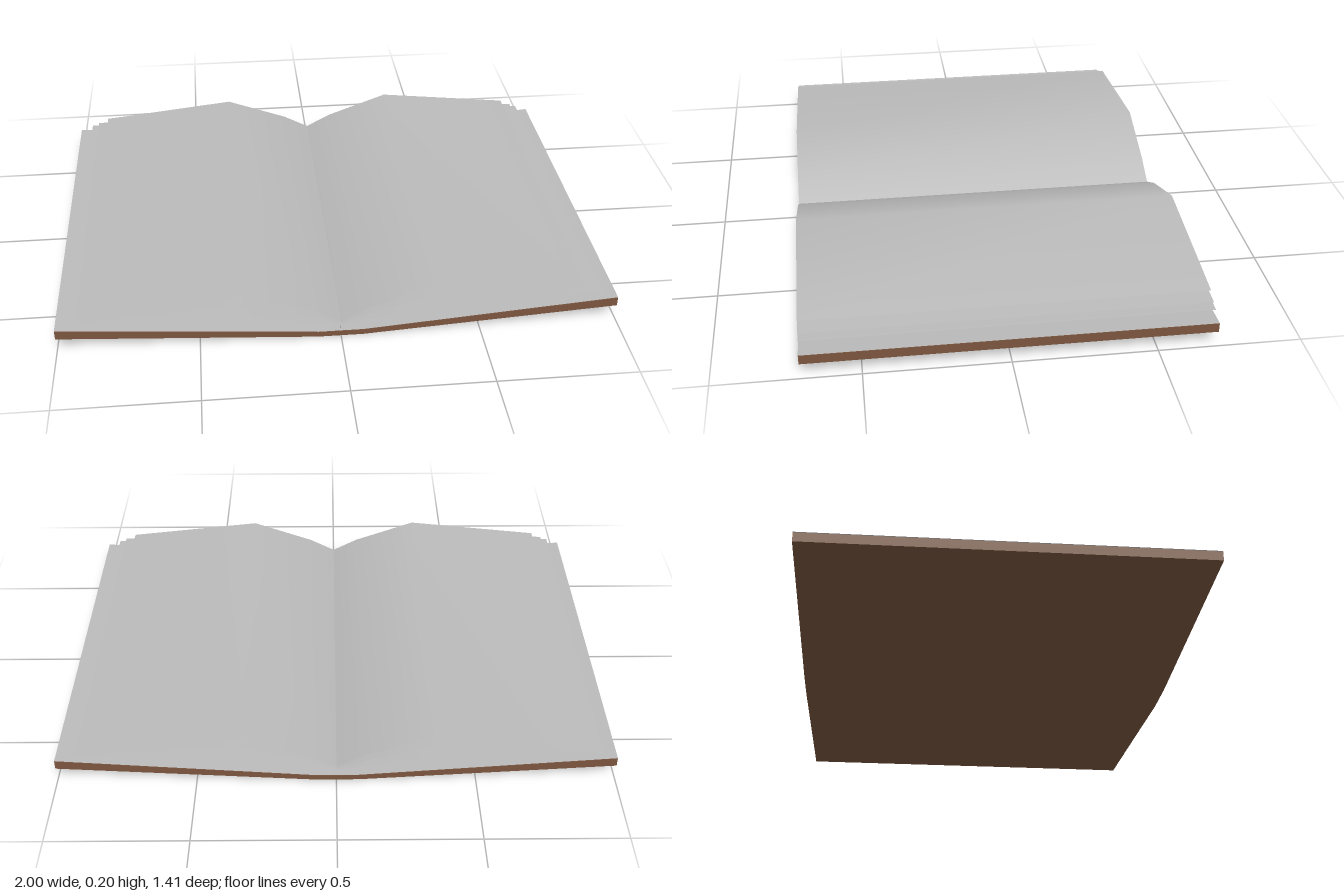
import * as THREE from 'three';

const HALF_DEPTH = 0.705;

// Smooth open sheet swept along z; profile runs from -x to +x so it faces up
function sheetGeometry(profile) {
  const positions = [], index = [];
  profile.forEach(([x, y], i) => {
    positions.push(x, y, HALF_DEPTH, x, y, -HALF_DEPTH);
    if (i > 0) {
      const a = 2 * (i - 1);
      index.push(a, a + 2, a + 1, a + 2, a + 3, a + 1);
    }
  });
  const geometry = new THREE.BufferGeometry();
  geometry.setAttribute('position', new THREE.Float32BufferAttribute(positions, 3));
  geometry.setIndex(index);
  geometry.computeVertexNormals();
  return geometry;
}

const mirror = (profile) => profile.map(([x, y]) => [-x, y]).reverse();

export function createModel() {
  const book = new THREE.Group();
  book.name = 'openBook';

  const coverBrown = new THREE.MeshStandardMaterial({ color: 0x7b563f });
  coverBrown.name = 'coverBrown';
  const paperGrey = new THREE.MeshStandardMaterial({ color: 0xbbbbbb, side: THREE.DoubleSide });
  paperGrey.name = 'paperGrey';

  const add = (name, geometry, material) => {
    const mesh = new THREE.Mesh(geometry, material);
    mesh.name = name;
    book.add(mesh);
  };

  // Cover: two boards rising gently from a flat spine
  const underside = [[0.08, 0], [1, 0.06]];
  const topSide = [[0.08, 0.02], [1, 0.094]];
  const outline = [...mirror(underside), ...underside, ...[...topSide].reverse(), ...mirror(topSide).reverse()];
  const coverShape = new THREE.Shape(outline.map(([x, y]) => new THREE.Vector2(x, y)));
  const cover = new THREE.ExtrudeGeometry(coverShape, { depth: 2 * HALF_DEPTH, bevelEnabled: false });
  cover.translate(0, 0, -HALF_DEPTH);
  add('cover', cover, coverBrown);

  // Paper lining over the whole inside of the cover
  const lining = topSide.map(([x, y]) => [x, y + 0.002]);
  add('endpaper', sheetGeometry([...mirror(lining), ...lining]), paperGrey);

  // Loose pages fanning out from the fold, lowest first
  const pages = [
    [[0, 0.045], [0.1, 0.065], [0.355, 0.115], [0.95, 0.115]],
    [[0, 0.053], [0.1, 0.09], [0.352, 0.16], [0.922, 0.126]],
    [[0, 0.062], [0.1, 0.115], [0.345, 0.204], [0.88, 0.146]],
  ];
  pages.forEach((profile, i) => {
    add(`leftPage${i + 1}`, sheetGeometry(profile), paperGrey);
    add(`rightPage${i + 1}`, sheetGeometry(mirror(profile)), paperGrey);
  });

  // Upright binding strip joining the pages to the spine
  const binding = new THREE.PlaneGeometry(2 * HALF_DEPTH, 0.04);
  binding.rotateY(Math.PI / 2).translate(0, 0.042, 0);
  add('binding', binding, paperGrey);

  return book;
}
